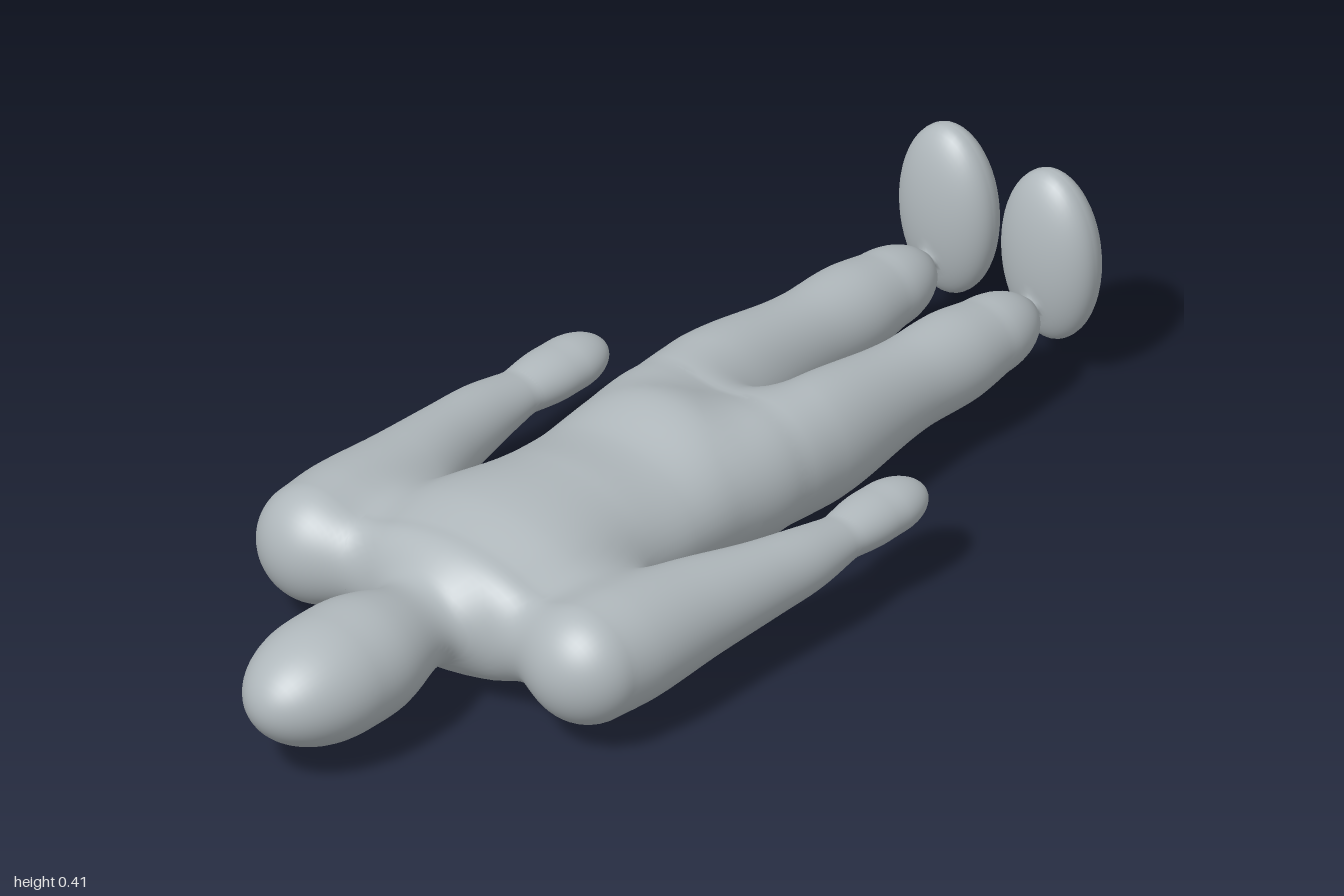
import * as THREE from 'three';

// Every body part is a round-ended tube along z.
// stations: [z, centre x, half width, half height], from low z to high z
const PARTS = [
  { name: 'torso', y: 0.152, cap: 0.09, stations: [
    [-0.2, 0, 0.18, 0.105], [-0.07, 0, 0.2, 0.153], [0.08, 0, 0.198, 0.131],
    [0.2, 0, 0.2, 0.141], [0.38, 0, 0.25, 0.148], [0.49, 0, 0.24, 0.126]] },
  { name: 'neck', y: 0.152, cap: 0.05, stations: [[0.5, 0, 0.075, 0.066], [0.72, 0, 0.075, 0.066]] },
  { name: 'head', y: 0.153, cap: 0.18, stations: [[0.79, 0, 0.122, 0.11], [0.82, 0, 0.122, 0.11]] },
  { name: 'Arm', pair: true, y: 0.153, cap: 0.1, stations: [
    [-0.1, 0.366, 0.047, 0.038], [0, 0.364, 0.06, 0.057], [0.1, 0.352, 0.07, 0.07],
    [0.25, 0.326, 0.094, 0.09], [0.42, 0.309, 0.114, 0.109], [0.5, 0.303, 0.112, 0.11]] },
  { name: 'Hand', pair: true, y: 0.155, cap: 0.09, blend: 0.03, stations: [
    [-0.22, 0.363, 0.057, 0.045], [-0.19, 0.363, 0.057, 0.045]] },
  { name: 'Leg', pair: true, y: 0.152, cap: 0.12, stations: [
    [-0.76, 0.117, 0.074, 0.07], [-0.68, 0.117, 0.083, 0.083], [-0.55, 0.117, 0.079, 0.086],
    [-0.3, 0.117, 0.1, 0.118], [-0.18, 0.112, 0.092, 0.11]] },
  { name: 'Foot', pair: true, y: 0.24, cap: 0.06, blend: 0.015, stations: [
    [-0.94, 0.116, 0.1, 0.165], [-0.935, 0.116, 0.1, 0.165]] },
];
const BLEND = 0.07;

// Adds a smooth section lookup to a part; side mirrors it
function makePart(def, side, name) {
  const zs = def.stations.map((s) => s[0]);
  const values = def.stations.flatMap(([, x, rx, ry]) => [x * side, rx, ry]);
  const curve = new THREE.CubicInterpolant(zs, values, 3);
  return { name, y: def.y, cap: def.cap, blend: def.blend ?? BLEND,
    z0: zs[0], z1: zs[zs.length - 1], section: (z) => curve.evaluate(z) };
}

// Approximate signed distance from a point to one part
function partDistance(part, x, y, z) {
  const zc = THREE.MathUtils.clamp(z, part.z0, part.z1);
  const [cx, rx, ry] = part.section(zc);
  const ex = (x - cx) / rx, ey = (y - part.y) / ry, ez = (z - zc) / part.cap;
  const k0 = Math.hypot(ex, ey, ez);
  const k1 = Math.hypot(ex / rx, ey / ry, ez / part.cap);
  return k1 < 1e-4 ? -Math.min(rx, ry) : (k0 * (k0 - 1)) / k1;
}

// Smooth union of all the parts
function bodyDistance(parts, x, y, z) {
  let d = 1;
  for (const part of parts) {
    const e = partDistance(part, x, y, z);
    const h = Math.max(part.blend - Math.abs(d - e), 0) / part.blend;
    d = Math.min(d, e) - (h * h * part.blend) / 4;
  }
  return d;
}

function bodyGradient(parts, p, target) {
  const s = 0.002;
  return target.set(
    bodyDistance(parts, p.x + s, p.y, p.z) - bodyDistance(parts, p.x - s, p.y, p.z),
    bodyDistance(parts, p.x, p.y + s, p.z) - bodyDistance(parts, p.x, p.y - s, p.z),
    bodyDistance(parts, p.x, p.y, p.z + s) - bodyDistance(parts, p.x, p.y, p.z - s),
  ).divideScalar(2 * s);
}

// Shapes a capsule into the part, then eases it into its neighbours
function partGeometry(part, parts) {
  const rows = Math.max(1, Math.ceil((part.z1 - part.z0) / 0.016));
  const geometry = new THREE.CapsuleGeometry(1, 1, 14, 48, rows).rotateX(Math.PI / 2);
  const { position, normal } = geometry.attributes;
  const p = new THREE.Vector3(), g = new THREE.Vector3();
  for (let i = 0; i < position.count; i++) {
    p.fromBufferAttribute(position, i);
    const s = THREE.MathUtils.clamp(p.z, -0.5, 0.5);
    const z = THREE.MathUtils.lerp(part.z0, part.z1, s + 0.5);
    const [cx, rx, ry] = part.section(z);
    p.set(cx + p.x * rx, part.y + p.y * ry, z + (p.z - s) * part.cap);

    // points deep inside another part stay hidden where they are
    if (bodyDistance(parts, p.x, p.y, p.z) > -0.04) {
      for (let n = 0; n < 5; n++) {
        const d = bodyDistance(parts, p.x, p.y, p.z);
        bodyGradient(parts, p, g);
        const step = THREE.MathUtils.clamp(-d / Math.max(g.lengthSq(), 0.2), -0.012, 0.012);
        p.addScaledVector(g, step);
      }
    }
    bodyGradient(parts, p, g).normalize();
    position.setXYZ(i, p.x, p.y, p.z);
    normal.setXYZ(i, g.x, g.y, g.z);
  }
  return geometry;
}

export function createModel() {
  const model = new THREE.Group();
  model.name = 'lyingFigure';
  const skin = new THREE.MeshStandardMaterial({ color: 0xb0b8bc });
  skin.name = 'pale grey';

  const parts = PARTS.flatMap((def) => (def.pair
    ? [makePart(def, 1, 'left' + def.name), makePart(def, -1, 'right' + def.name)]
    : [makePart(def, 1, def.name)]));
  for (const part of parts) {
    const mesh = new THREE.Mesh(partGeometry(part, parts), skin);
    mesh.name = part.name;
    model.add(mesh);
  }
  return model;
}
